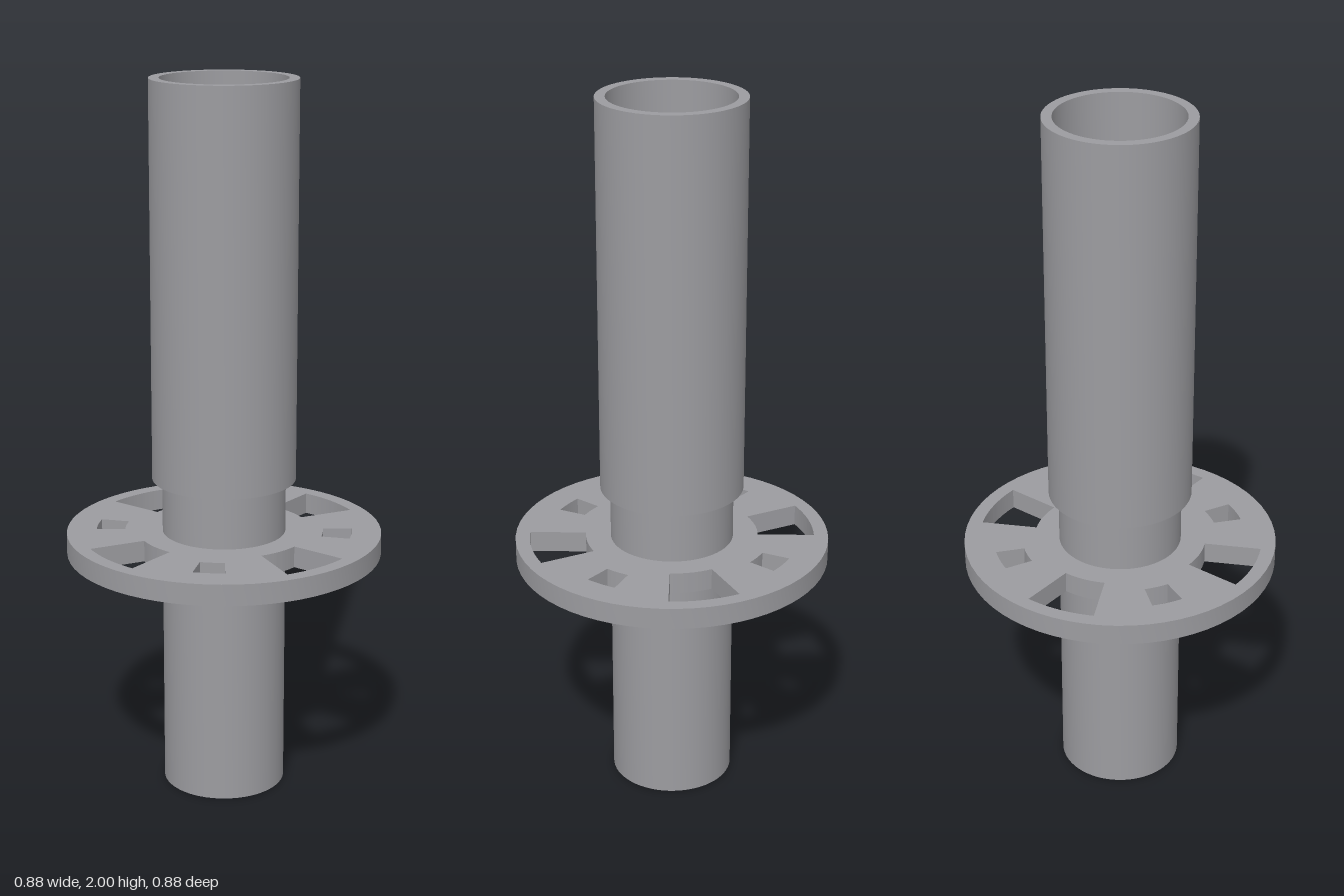
import * as THREE from 'three';
import { toCreasedNormals } from 'three/addons/utils/BufferGeometryUtils.js';

const SEGMENTS = 64;

export function createModel() {
  const group = new THREE.Group();
  const steel = new THREE.MeshStandardMaterial({ color: 0x9c9ca0 });
  steel.name = 'steel';

  const add = (name, geometry) => {
    const mesh = new THREE.Mesh(toCreasedNormals(geometry, Math.PI / 6), steel);
    mesh.name = name;
    group.add(mesh);
    return mesh;
  };

  // Hollow pipe with flat ends: outside up, inside down
  const pipe = (outer, inner, y0, y1) => new THREE.LatheGeometry(
    [[inner, y0], [outer, y0], [outer, y1], [inner, y1], [inner, y0]]
      .map(([r, y]) => new THREE.Vector2(r, y)), SEGMENTS);

  // Narrow pipe ends just inside the wide sleeve
  add('lowerTube', pipe(0.172, 0.15, 0, 1.0));
  add('upperSleeve', pipe(0.2, 0.172, 0.9, 2));

  // Slotted disc
  const disc = new THREE.Shape().absarc(0, 0, 0.44, 0, Math.PI * 2, false);
  disc.holes.push(new THREE.Path().absarc(0, 0, 0.171, 0, Math.PI * 2, true));

  const slot = (angle, halfAngle, inner, outer) => {
    const path = new THREE.Path();
    path.absarc(0, 0, outer, angle - halfAngle, angle + halfAngle, false);
    path.absarc(0, 0, inner, angle + halfAngle, angle - halfAngle, true);
    path.closePath();
    disc.holes.push(path);
  };
  const deg = Math.PI / 180;
  for (let i = 0; i < 4; i++) {
    slot(i * 90 * deg, 14 * deg, 0.242, 0.4); // large slots on the axes
    slot((i * 90 + 45) * deg, 7 * deg, 0.277, 0.357); // small slots between
  }

  const flange = new THREE.ExtrudeGeometry(disc, { depth: 0.06, bevelEnabled: false, curveSegments: SEGMENTS / 2 });
  flange.rotateX(-Math.PI / 2);
  add('slottedFlange', flange).position.y = 0.688;

  return group;
}
